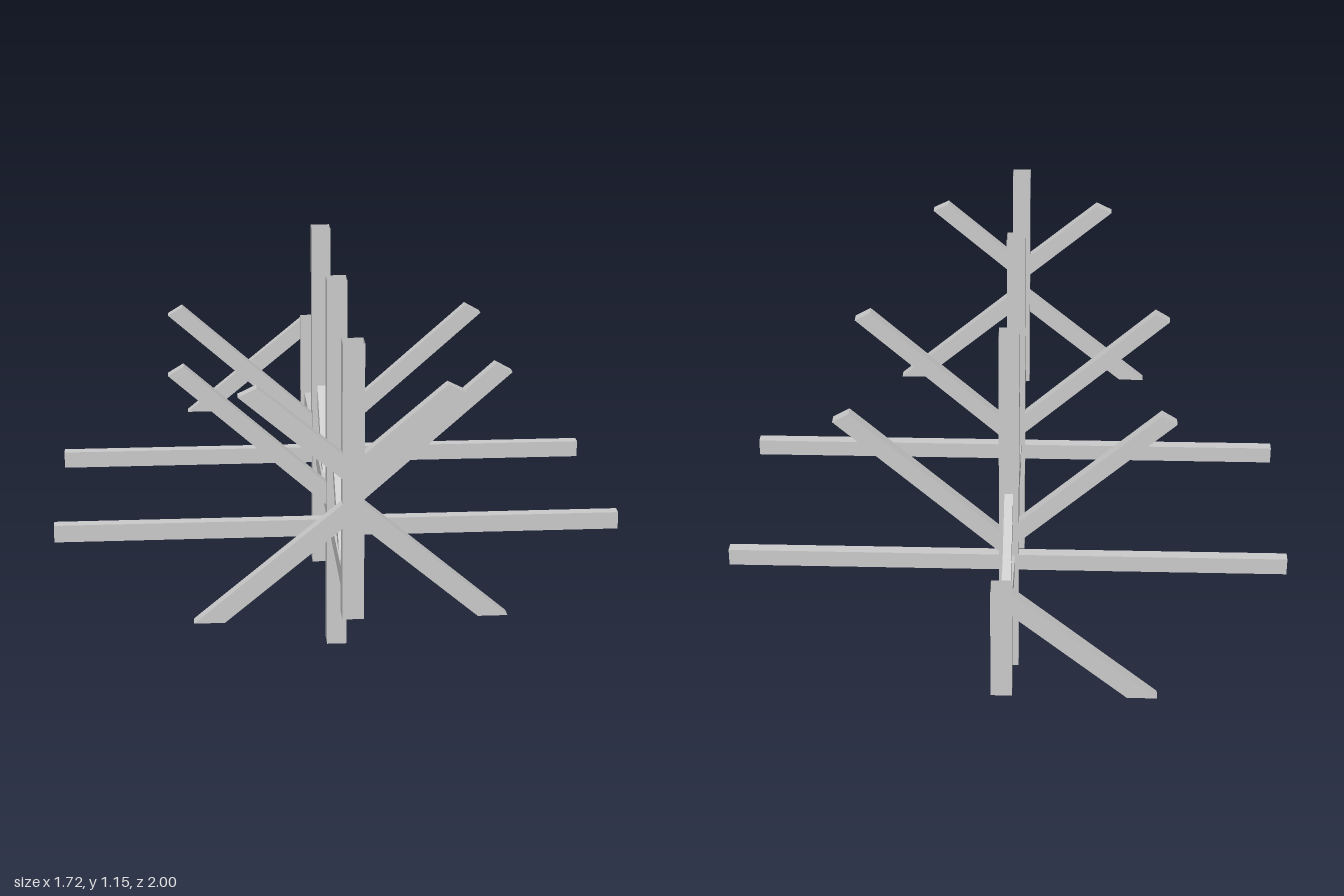
import * as THREE from 'three';

const metal = new THREE.MeshStandardMaterial({ color: 0xcccccc, flatShading: true, side: THREE.DoubleSide });
const CX = -0.009; // centre line of the posts

export function createModel() {
  const model = new THREE.Group();
  model.name = 'strutFrame';

  const add = (name, geometry) => {
    const mesh = new THREE.Mesh(geometry, metal);
    mesh.name = name;
    model.add(mesh);
    return mesh;
  };

  // Open-ended rectangular tube standing along y, centred on the origin
  const tube = (name, width, length, depth) => {
    const g = new THREE.CylinderGeometry(Math.SQRT1_2, Math.SQRT1_2, length, 4, 1, true);
    g.rotateY(Math.PI / 4).scale(width, 1, depth);
    return add(name, g);
  };

  // Solid strut: a four-cornered outline in the xy plane with a given depth
  const strut = (name, corners, depth, z) => {
    const shape = new THREE.Shape(corners.map(([x, y]) => new THREE.Vector2(x, y)));
    const g = new THREE.ExtrudeGeometry(shape, { depth, bevelEnabled: false });
    g.translate(0, 0, z - depth / 2);
    return add(name, g);
  };

  // Upright posts: x width, bottom, top, z
  const post = (name, bottom, top, z) =>
    tube(name, 0.06, top - bottom, 0.06).position.set(CX, (bottom + top) / 2, z);
  post('frontLeg', 0, 1.15, 0.364);
  post('rearLeg', 0, 1.15, -0.335);
  post('frontEndPost', 0.335, 1.125, 0.97);
  post('rearEndPost', 0.335, 0.68, -0.97);

  // Long spine
  const spine = tube('spine', 0.036, 1.88, 0.056);
  spine.rotation.x = Math.PI / 2;
  spine.position.set(CX, 0.377, 0);

  for (const [label, z] of [['front', 0.361], ['rear', -0.339]]) {
    // Cross beam
    const beam = tube(label + 'CrossBeam', 0.053, 1.715, 0.036);
    beam.rotation.z = Math.PI / 2;
    beam.position.set(-0.003, 0.376, z);

    // Rising arms
    strut(label + 'LeftArm', [[0.02, 0.414], [0.517, 0.855], [0.467, 0.883], [0.02, 0.487]], 0.037, z);
    strut(label + 'RightArm', [[-0.039, 0.449], [-0.508, 0.864], [-0.462, 0.892], [-0.039, 0.518]], 0.037, z);

    // Knee braces between leg and spine, running fore and aft
    for (const [side, s] of [['Fore', 1], ['Aft', -1]]) {
      const brace = strut(label + side + 'KneeBrace',
        [[0.03, 0.565], [0.215, 0.405], [0.288, 0.405], [0.03, 0.625]], 0.026, 0);
      brace.rotation.y = -s * Math.PI / 2;
      brace.position.set(CX, 0, z);
    }
  }

  // Front end: short rising arms and falling braces
  const fz = 0.982;
  strut('endLeftArm', [[0.02, 0.745], [0.297, 0.982], [0.246, 1.007], [0.02, 0.814]], 0.037, fz);
  strut('endRightArm', [[-0.039, 0.745], [-0.32, 0.982], [-0.269, 1.007], [-0.039, 0.816]], 0.037, fz);
  strut('endLeftBrace', [[0.02, 0.602], [0.338, 0.335], [0.421, 0.335], [0.02, 0.675]], 0.037, fz);
  const rightBrace = [[-0.039, 0.602], [-0.363, 0.335], [-0.448, 0.335], [-0.039, 0.672]];
  strut('endRightBrace', rightBrace, 0.037, fz);

  // Rear end: a single falling brace
  strut('rearEndBrace', rightBrace, 0.037, -fz);

  return model;
}
